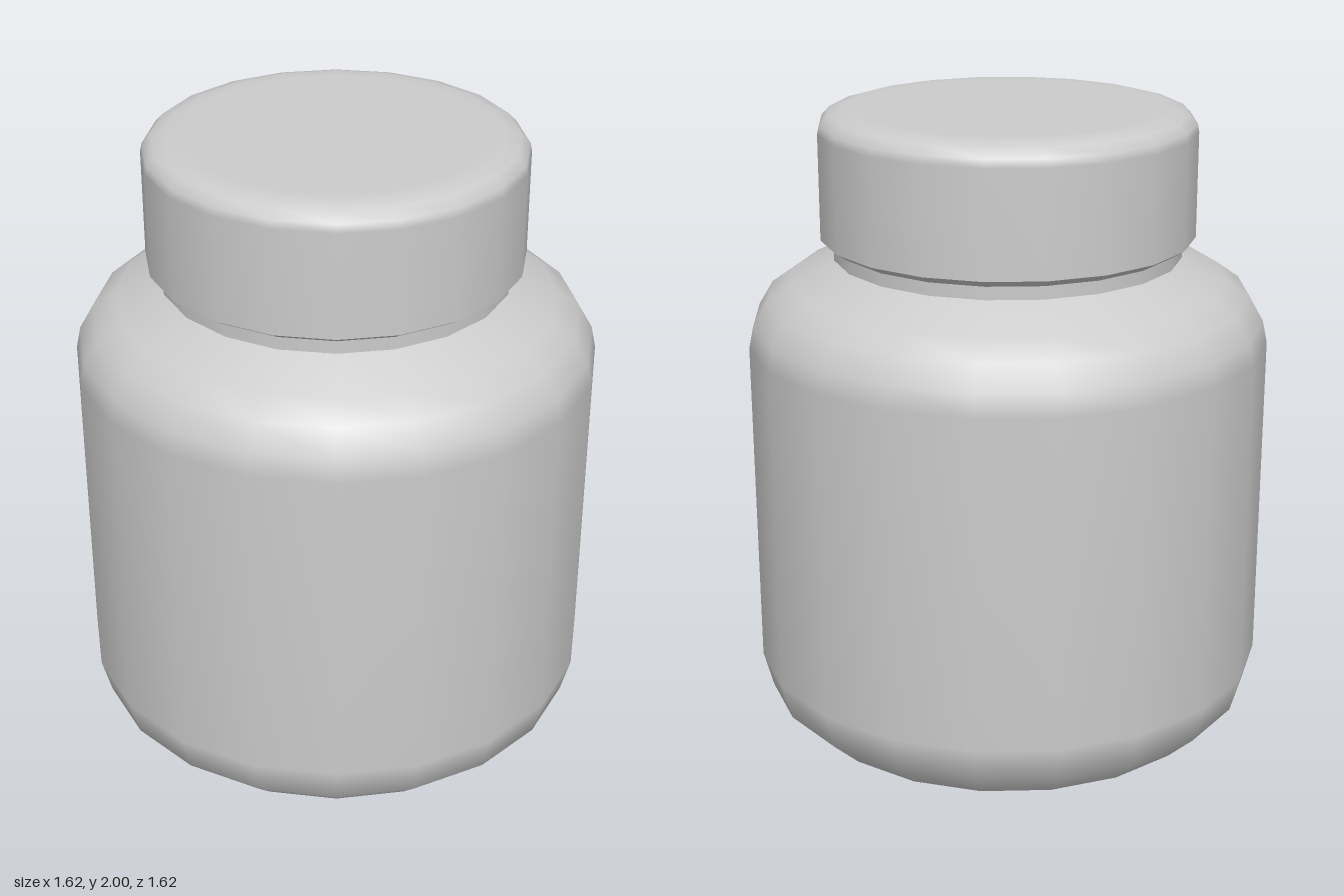
import * as THREE from 'three';

const SIDES = 20;
const material = new THREE.MeshStandardMaterial({ color: 0xcccccc });

// Smooth surface of revolution; profile runs from bottom to top as [radius, height]
function turned(name, profile) {
  const points = profile.map(([r, y]) => new THREE.Vector2(r, y));
  const mesh = new THREE.Mesh(new THREE.LatheGeometry(points, SIDES), material);
  mesh.name = name;
  return mesh;
}

export function createModel() {
  const jar = new THREE.Group();
  jar.name = 'jar';

  // Body: separate strips keep the edges of base and neck sharp
  const body = new THREE.Group();
  body.name = 'body';
  body.add(
    turned('base', [[0, 0], [0.56, 0], [0.685, 0.035]]),
    turned('wall', [
      [0.685, 0.035], [0.78, 0.125], [0.81, 0.24], [0.81, 1.28],
      [0.795, 1.35], [0.75, 1.425], [0.68, 1.475], [0.54, 1.545],
    ]),
    turned('neck', [[0.54, 1.545], [0.54, 1.59]]),
  );

  // Lid: chamfered underside, straight skirt, rounded top edge
  const lid = new THREE.Group();
  lid.name = 'lid';
  lid.add(
    turned('lidUnderside', [[0.54, 1.585], [0.58, 1.61]]),
    turned('lidShell', [
      [0.58, 1.61], [0.58, 1.935], [0.575, 1.96], [0.55, 1.987],
      [0.505, 2], [0.46, 2], [0, 2],
    ]),
  );

  jar.add(body, lid);
  return jar;
}
